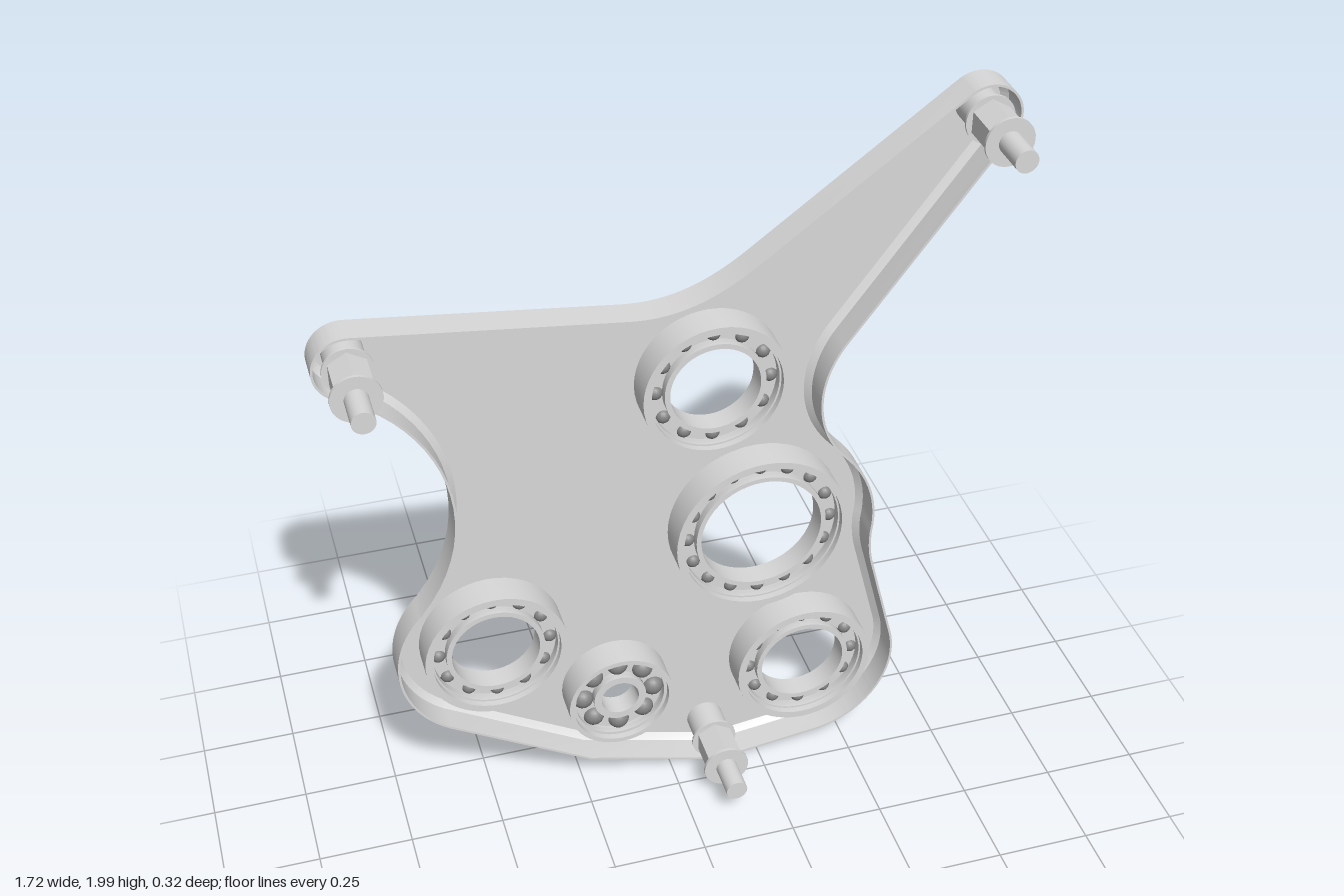
import * as THREE from 'three';
import { toCreasedNormals } from 'three/addons/utils/BufferGeometryUtils.js';

const BACK = -0.158, FLOOR = -0.148, FRONT = -0.06;

function material(name, color) {
  const m = new THREE.MeshStandardMaterial({ color });
  m.name = name;
  return m;
}
const steel = material('light steel grey', 0xd9d9d9);
const ballSteel = material('dark steel grey', 0x858585);

// bearings: centre, housing radius, race seat radius, ball circle, ball radius, bore, ball count
const BEARINGS = [
  [0.118, 1.26, 0.19, 0.17, 0.148, 0.02, 0.117, 12],
  [0.248, 0.78, 0.235, 0.216, 0.194, 0.02, 0.164, 16],
  [-0.472, 0.545, 0.19, 0.17, 0.148, 0.02, 0.117, 12],
  [0.378, 0.295, 0.19, 0.17, 0.148, 0.02, 0.117, 12],
  [-0.142, 0.295, 0.145, 0.132, 0.098, 0.03, 0.052, 8],
];
const BOLTS = [[-0.773, 1.5], [0.773, 1.912], [0.118, 0.095]];

function part(name, geometry, parent, mat = steel) {
  const mesh = new THREE.Mesh(geometry, mat);
  mesh.name = name;
  parent.add(mesh);
  return mesh;
}

// solid of revolution about z from a closed profile of [radius, z]
function turned(profile, segments = 48) {
  const g = new THREE.LatheGeometry(profile.map(([r, z]) => new THREE.Vector2(r, z)), segments);
  g.rotateX(Math.PI / 2);
  return toCreasedNormals(g, 0.6);
}
const ring = (r0, r1, z0, z1) => turned([[r0, z0], [r1, z0], [r1, z1], [r0, z1], [r0, z0]]);

function rod(r, z0, z1, sides) {
  const g = new THREE.CylinderGeometry(r, r, z1 - z0, sides);
  g.rotateX(Math.PI / 2).translate(0, 0, (z0 + z1) / 2);
  return sides > 8 ? g : toCreasedNormals(g, 0.5);
}

// plate outline, counter-clockwise
function outline() {
  const s = new THREE.Shape();
  s.moveTo(0.1, 0.008);
  s.quadraticCurveTo(0.118, 0, 0.136, 0.004);
  s.lineTo(0.43, 0.042);
  s.absarc(0.378, 0.295, 0.257, -1.37, 0.22, false);
  s.lineTo(0.56, 0.62);
  s.quadraticCurveTo(0.545, 0.68, 0.552, 0.74);
  s.bezierCurveTo(0.563, 0.83, 0.535, 0.92, 0.47, 0.99);
  s.bezierCurveTo(0.375, 1.09, 0.375, 1.23, 0.448, 1.335);
  s.absarc(0.773, 1.912, 0.086, -0.64, 2.18, false);
  s.lineTo(0.2, 1.597);
  s.bezierCurveTo(0.11, 1.535, 0.02, 1.496, -0.1, 1.508);
  s.absarc(-0.773, 1.5, 0.086, 1.45, 4.3, false);
  s.bezierCurveTo(-0.57, 1.31, -0.46, 0.98, -0.655, 0.732);
  s.absarc(-0.472, 0.545, 0.261, 2.36, 4.15, false);
  s.lineTo(-0.235, 0.105);
  s.closePath();
  const pts = s.getPoints(20);
  return pts.filter((p, i) => p.distanceTo(pts[(i + 1) % pts.length]) > 0.004);
}

// move every outline point inwards by d
function inset(pts, d) {
  const n = pts.length;
  return pts.map((p, i) => {
    const a = p.clone().sub(pts[(i + n - 1) % n]).normalize();
    const b = pts[(i + 1) % n].clone().sub(p).normalize();
    const k = d / (1 + a.dot(b));
    return new THREE.Vector2(p.x - (a.y + b.y) * k, p.y + (a.x + b.x) * k);
  });
}

// thin wall with a chamfered back edge, swept round the outline
function wallGeometry(pts) {
  const profile = [[0.022, FLOOR], [0.006, -0.132], [0.006, FRONT], [0, FRONT], [0, -0.14], [0.018, BACK]];
  const pos = [], index = [], n = pts.length;
  for (const [d, z] of profile) for (const p of inset(pts, d)) pos.push(p.x, p.y, z);
  for (let k = 0; k < profile.length - 1; k++) {
    for (let i = 0; i < n; i++) {
      const j = (i + 1) % n, a = k * n + i, b = k * n + j;
      index.push(a, a + n, b, b, a + n, b + n);
    }
  }
  const g = new THREE.BufferGeometry();
  g.setAttribute('position', new THREE.Float32BufferAttribute(pos, 3));
  g.setIndex(index);
  return toCreasedNormals(g, 0.5);
}

function floorGeometry(pts) {
  const s = new THREE.Shape(inset(pts, 0.018));
  const hole = (x, y, r) => s.holes.push(new THREE.Path().absarc(x, y, r, 0, Math.PI * 2, true));
  for (const [x, y, , seat] of BEARINGS) hole(x, y, seat + 0.002);
  for (const [x, y] of BOLTS) hole(x, y, 0.042);
  const g = new THREE.ExtrudeGeometry(s, { depth: FLOOR - BACK, bevelEnabled: false, curveSegments: 24 });
  return g.translate(0, 0, BACK);
}

function bearing([x, y, housing, seat, pitch, ball, bore, count]) {
  const g = new THREE.Group();
  g.name = 'bearing';
  g.position.set(x, y, 0);
  const mid = (BACK + FRONT) / 2, gap = ball * 0.85, z0 = BACK + 0.018, z1 = FRONT - 0.018;
  part('housing', ring(seat, housing, BACK - 0.001, FRONT), g);
  // races with a groove for the balls
  const r = pitch + gap, q = pitch - gap, h = ball * 0.6;
  part('outerRace', turned([[r, z0], [seat, z0], [seat, z1], [r, z1],
    [r, mid + h], [pitch + ball, mid], [r, mid - h], [r, z0]]), g);
  part('innerRace', turned([[bore, z0], [q, z0], [q, mid - h], [pitch - ball, mid],
    [q, mid + h], [q, z1], [bore, z1], [bore, z0]]), g);
  part('cage', ring(q, r, mid - 0.006, mid + 0.006), g);
  const sphere = new THREE.SphereGeometry(ball, 16, 12);
  for (let i = 0; i < count; i++) {
    const a = (i / count) * Math.PI * 2;
    part('ball', sphere, g, ballSteel).position.set(Math.cos(a) * pitch, Math.sin(a) * pitch, mid);
  }
  return g;
}

function standoff([x, y]) {
  const g = new THREE.Group();
  g.name = 'standoff';
  g.position.set(x, y, 0);
  part('boss', rod(0.05, FLOOR - 0.001, FRONT, 32), g);
  part('rearWasher', rod(0.062, FRONT, FRONT + 0.007, 32), g);
  part('hexSpacer', rod(0.053, FRONT + 0.007, 0.055, 6), g);
  part('frontWasher', rod(0.062, 0.055, 0.063, 32), g);
  part('stud', rod(0.029, 0.063, 0.158, 32), g);
  // screw head with a hex socket, just proud of the back
  const head = new THREE.Shape().absarc(0, 0, 0.045, 0, Math.PI * 2, false);
  const socket = [];
  for (let i = 0; i < 6; i++) {
    const a = -i * Math.PI / 3;
    socket.push(new THREE.Vector2(Math.cos(a), Math.sin(a)).multiplyScalar(0.02));
  }
  head.holes.push(new THREE.Path([...socket, socket[0]]));
  const headGeometry = new THREE.ExtrudeGeometry(head, { depth: 0.011, bevelEnabled: false, curveSegments: 24 });
  part('screwHead', headGeometry.translate(0, 0, BACK - 0.002), g);
  return g;
}

export function createModel() {
  const model = new THREE.Group();
  model.name = 'bearingPlate';
  const pts = outline();
  part('plateWall', wallGeometry(pts), model);
  part('plateFloor', floorGeometry(pts), model);
  for (const b of BEARINGS) model.add(bearing(b));
  for (const b of BOLTS) model.add(standoff(b));
  return model;
}
